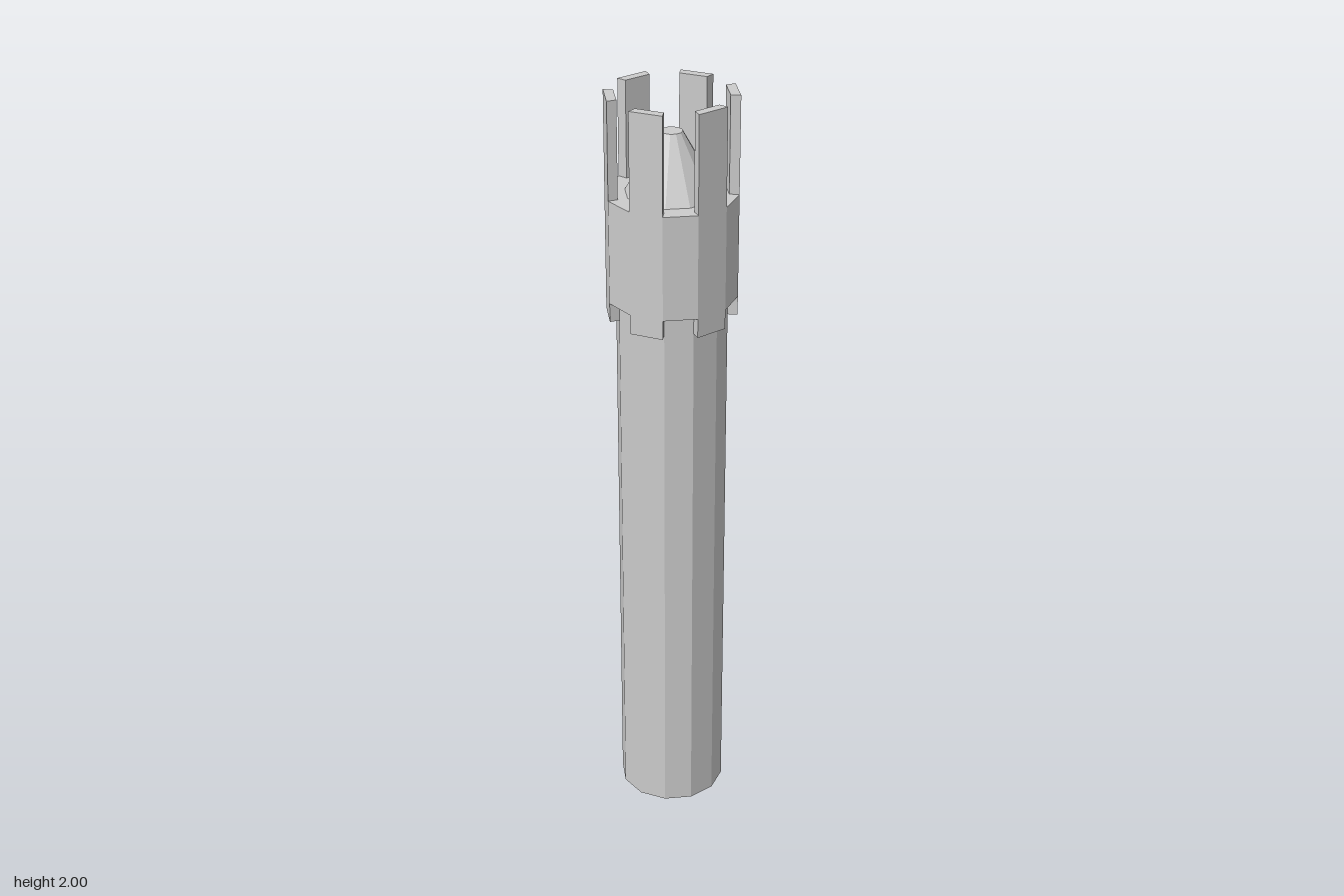
import * as THREE from 'three';

const SIDES = 12;
const STEP = (Math.PI * 2) / SIDES;
const INNER = 0.14, OUTER = 0.165;

export function createModel() {
  const root = new THREE.Group();
  root.name = 'prongedRod';
  const material = new THREE.MeshStandardMaterial({ color: 0xcccccc, flatShading: true });

  const add = (name, geometry) => {
    const mesh = new THREE.Mesh(geometry, material);
    mesh.name = name;
    root.add(mesh);
    return mesh;
  };

  // Twelve-sided turned part from a bottom-to-top profile
  const turned = (name, profile) =>
    add(name, new THREE.LatheGeometry(profile.map(([r, y]) => new THREE.Vector2(r, y)), SIDES));

  // One facet of the collar wall, standing from y0 to y1
  const facet = (name, start, y0, y1) => {
    const at = (r, a) => new THREE.Vector2(r * Math.sin(a), -r * Math.cos(a));
    const shape = new THREE.Shape([
      at(INNER, start), at(OUTER, start), at(OUTER, start + STEP), at(INNER, start + STEP),
    ]);
    const geometry = new THREE.ExtrudeGeometry(shape, { depth: y1 - y0, bevelEnabled: false });
    geometry.rotateX(-Math.PI / 2).translate(0, y0, 0);
    add(name, geometry);
  };

  // Shaft, collar and the blunt cone set in the collar's top
  turned('shaft', [[0, 0], [INNER, 0], [INNER, 1.48]]);
  turned('collar', [[INNER, 1.48], [OUTER, 1.48], [OUTER, 1.75], [0.115, 1.75]]);
  turned('cone', [[0.115, 1.75], [0.027, 1.905], [0, 1.905]]);

  // Upright prongs, with short teeth below the collar on the same facets
  for (let i = 0; i < SIDES; i += 2) {
    facet('prong', (i - 1) * STEP, 1.75, 2);
    facet('tooth', (i - 1) * STEP, 1.43, 1.48);
  }
  return root;
}
